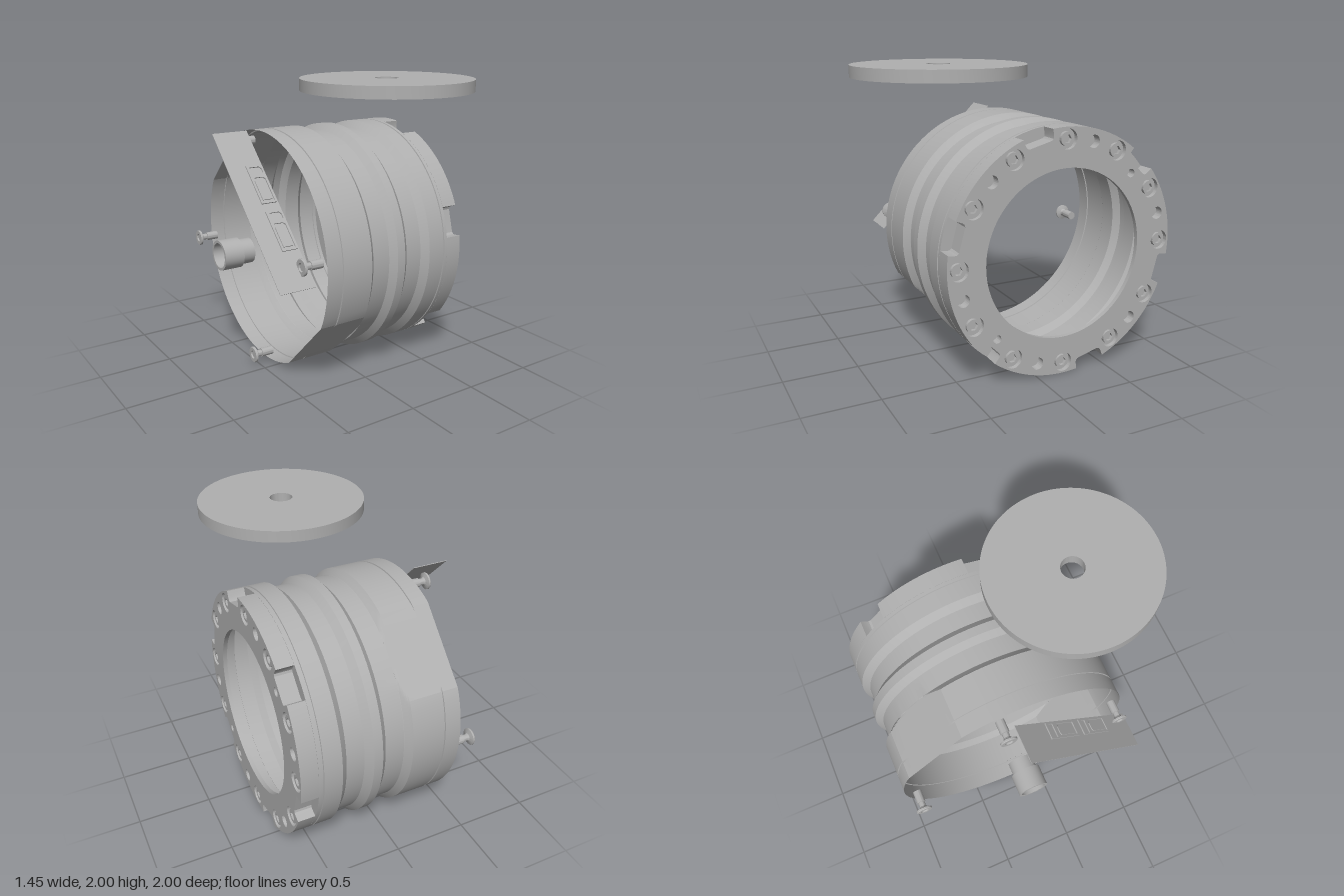
import * as THREE from 'three';
import { toCreasedNormals } from 'three/addons/utils/BufferGeometryUtils.js';

const metal = new THREE.MeshStandardMaterial({ color: 0xb0b0b0, side: THREE.DoubleSide });
metal.name = 'brushed grey';

const R = 0.817, RAD = Math.PI / 180;

function add(parent, geometry, name) {
  const mesh = new THREE.Mesh(geometry, metal);
  mesh.name = name;
  parent.add(mesh);
  return mesh;
}

// Solid of revolution about the x axis from [x, r] points
function turned(points, segments = 32) {
  const g = new THREE.LatheGeometry(points.map(([x, r]) => new THREE.Vector2(r, -x)), segments);
  return toCreasedNormals(g.rotateZ(Math.PI / 2), 0.5);
}

// Extrude a shape drawn in the drum's end plane along +x, starting at x0
function extrudeX(shape, x0, depth, segments = 24) {
  const g = new THREE.ExtrudeGeometry(shape, { depth, bevelEnabled: false, curveSegments: segments });
  g.rotateY(Math.PI / 2).translate(x0, 0, 0);
  return toCreasedNormals(g, 0.45);
}

// Polar position in the end plane, clockwise from the top as seen from +x
const polar = (deg, r) => [Math.sin(deg * RAD) * r, Math.cos(deg * RAD) * r];

function circle(x, y, r) {
  const p = new THREE.Path();
  p.absarc(x, y, r, 0, Math.PI * 2, true);
  return p;
}

// Grooved shell, with two opposite flats milled into its open end
function shellGeometry() {
  const flat = 0.766, n = 144;
  const profile = [
    [-0.4, R], [-0.291, R], [-0.289, 0.809], [-0.281, 0.809], [-0.279, R], [-0.06, R],
    [-0.05, 0.806], [-0.04, 0.796], [-0.03, 0.786], [-0.02, 0.776], [-0.018, 0.775],
    [0.11, 0.775], [0.15, R], [0.21, R], [0.255, 0.775], [0.375, 0.775], [0.42, R],
    [0.54, R], [0.542, 0.809], [0.549, 0.809], [0.551, R], [0.575, R], [0.575, 0.645],
  ];
  const pos = [], index = [];
  profile.forEach(([x, r], i) => {
    for (let j = 0; j <= n; j++) {
      const t = (j / n) * Math.PI * 2;
      const c = Math.abs(Math.cos(t - Math.PI / 4));
      const rr = x <= -0.02 ? Math.min(r, flat / Math.max(c, 0.01)) : r;
      pos.push(x, rr * Math.cos(t), -rr * Math.sin(t));
      if (i < profile.length - 1 && j < n) {
        const a = i * (n + 1) + j, b = a + n + 1;
        index.push(a, b, b + 1, a, b + 1, a + 1);
      }
    }
  });
  const g = new THREE.BufferGeometry();
  g.setAttribute('position', new THREE.Float32BufferAttribute(pos, 3));
  g.setIndex(index);
  return toCreasedNormals(g, 0.28);
}

// Flange outline with six notches
function flangeShape() {
  const pts = [];
  const half = Math.asin(0.105 / R) / RAD;
  const notch = [[-0.1, 0.766], [-0.094, 0.75], [-0.08, 0.742], [0.08, 0.742], [0.094, 0.75], [0.1, 0.766]];
  for (let k = 0; k < 6; k++) {
    const centre = 45 + 60 * k, from = centre - 60 + half, to = centre - half;
    for (let i = 0; i <= 20; i++) pts.push(new THREE.Vector2(...polar(from + ((to - from) * i) / 20, R)));
    const c = Math.cos(centre * RAD), s = Math.sin(centre * RAD);
    notch.forEach(([t, r]) => pts.push(new THREE.Vector2(s * r + c * t, c * r - s * t)));
  }
  return new THREE.Shape(pts);
}

function buildDrum() {
  const drum = new THREE.Group();
  drum.name = 'drum';
  drum.position.set(0, 0.818, -0.183);
  add(drum, shellGeometry(), 'shell');

  // Every hole in the flange: [angle, distance, radius, floor x]
  const holes = [];
  for (let k = 0; k < 12; k++) holes.push([k * 30, 0.74, 0.065, 0.66]);
  for (let k = 0; k < 6; k++) holes.push([15 + k * 60, 0.737, 0.042, 0.63]);
  for (const a of [45, 225]) holes.push([a, 0.684, 0.028, 0.63]);

  const outer = flangeShape();
  outer.holes.push(circle(0, 0, 0.645));
  holes.forEach(([a, d, r]) => outer.holes.push(circle(...polar(a, d), r)));
  add(drum, extrudeX(outer, 0.576, 0.114, 64), 'flange');

  const inner = new THREE.Shape();
  inner.absarc(0, 0, 0.645, 0, Math.PI * 2, false);
  inner.holes.push(circle(0, 0, 0.56));
  add(drum, extrudeX(inner, 0.66, 0.03, 64), 'flangeLip');

  // Hole floors
  holes.forEach(([a, d, r, x]) => {
    const [u, v] = polar(a, d);
    add(drum, turned([[0.577, 0], [0.577, r], [x, r], [x, 0]], 24), 'holeFloor').position.set(0, v, -u);
  });

  // Socket head bolts
  const head = new THREE.Shape();
  head.absarc(0, 0, 0.046, 0, Math.PI * 2, false);
  const hex = [];
  for (let i = 0; i < 6; i++) hex.push(new THREE.Vector2(...polar(30 + i * 60, 0.029)));
  head.holes.push(new THREE.Path(hex));
  const headGeometry = extrudeX(head, 0.66, 0.022);
  for (let k = 0; k < 12; k++) {
    const [u, v] = polar(k * 30, 0.74);
    add(drum, headGeometry, 'flangeBolt').position.set(0, v, -u);
  }

  // Stepped tube on the axis, outside the open end
  add(drum, turned([[-0.73, 0.085], [-0.73, 0.103], [-0.59, 0.103], [-0.59, 0.086],
    [-0.5, 0.086], [-0.5, 0.083], [-0.73, 0.085]], 48), 'axisTube');

  // Countersunk screws and their standoffs
  const screw = turned([[-0.535, 0], [-0.535, 0.024], [-0.545, 0.028], [-0.545, 0.052], [-0.54, 0.056],
    [-0.53, 0.056], [-0.52, 0.028], [-0.51, 0.022], [-0.48, 0.022], [-0.48, 0]]);
  const standoff = turned([[-0.48, 0], [-0.48, 0.03], [-0.395, 0.03], [-0.395, 0]]);
  for (let k = 0; k < 4; k++) {
    const [u, v] = polar(7.2 + k * 90, 0.746);
    add(drum, screw, 'screw').position.set(0, v, -u);
    add(drum, standoff, 'standoff').position.set(0, v, -u);
  }
  return drum;
}

function rectPath(x, y, w, h, Type = THREE.Path) {
  const c = 0.16 * w;
  return new Type([[-w / 2, -h / 2], [w / 2, -h / 2], [w / 2, h / 2 - c], [w / 2 - c, h / 2],
    [-w / 2 + c, h / 2], [-w / 2, h / 2 - c]].map(([a, b]) => new THREE.Vector2(x + a, y + b)));
}

// Slanted connector panel with two socket frames
function buildPanel() {
  const panel = new THREE.Group();
  panel.name = 'connectorPanel';
  panel.position.set(-0.605, 1.215, 0.205);
  panel.rotation.x = -Math.PI / 4;
  add(panel, new THREE.BoxGeometry(0.25, 1.19, 0.004), 'panelPlate');
  const frame = new THREE.Shape([[-0.055, -0.145], [0.055, -0.145], [0.055, 0.145], [-0.055, 0.145]]
    .map(([a, b]) => new THREE.Vector2(a, b)));
  frame.holes.push(rectPath(0, -0.04, 0.088, 0.18), rectPath(0, 0.105, 0.094, 0.05));
  const frameGeometry = new THREE.ExtrudeGeometry(frame, { depth: 0.008, bevelEnabled: false });
  const insert = new THREE.ExtrudeGeometry(rectPath(0, -0.04, 0.07, 0.155, THREE.Shape),
    { depth: 0.006, bevelEnabled: false });
  for (const y of [0.17, -0.178]) {
    add(panel, frameGeometry, 'socketFrame').position.set(0.06, y, 0.002);
    add(panel, insert, 'socketInsert').position.set(0.06, y, 0.002);
  }
  return panel;
}

// Flat disc with a centre hole, floating above the drum
function buildDisc() {
  const shape = new THREE.Shape();
  shape.absarc(0, 0, 0.55, 0, Math.PI * 2, false);
  shape.holes.push(circle(0, 0, 0.075));
  const g = new THREE.ExtrudeGeometry(shape, { depth: 0.075, bevelEnabled: false, curveSegments: 72 });
  g.rotateX(-Math.PI / 2);
  const mesh = new THREE.Mesh(toCreasedNormals(g, 0.5), metal);
  mesh.name = 'disc';
  mesh.position.set(0.17, 1.925, 0.447);
  return mesh;
}

export function createModel() {
  const model = new THREE.Group();
  model.name = 'drumAssembly';
  model.add(buildDrum(), buildPanel(), buildDisc());
  return model;
}
